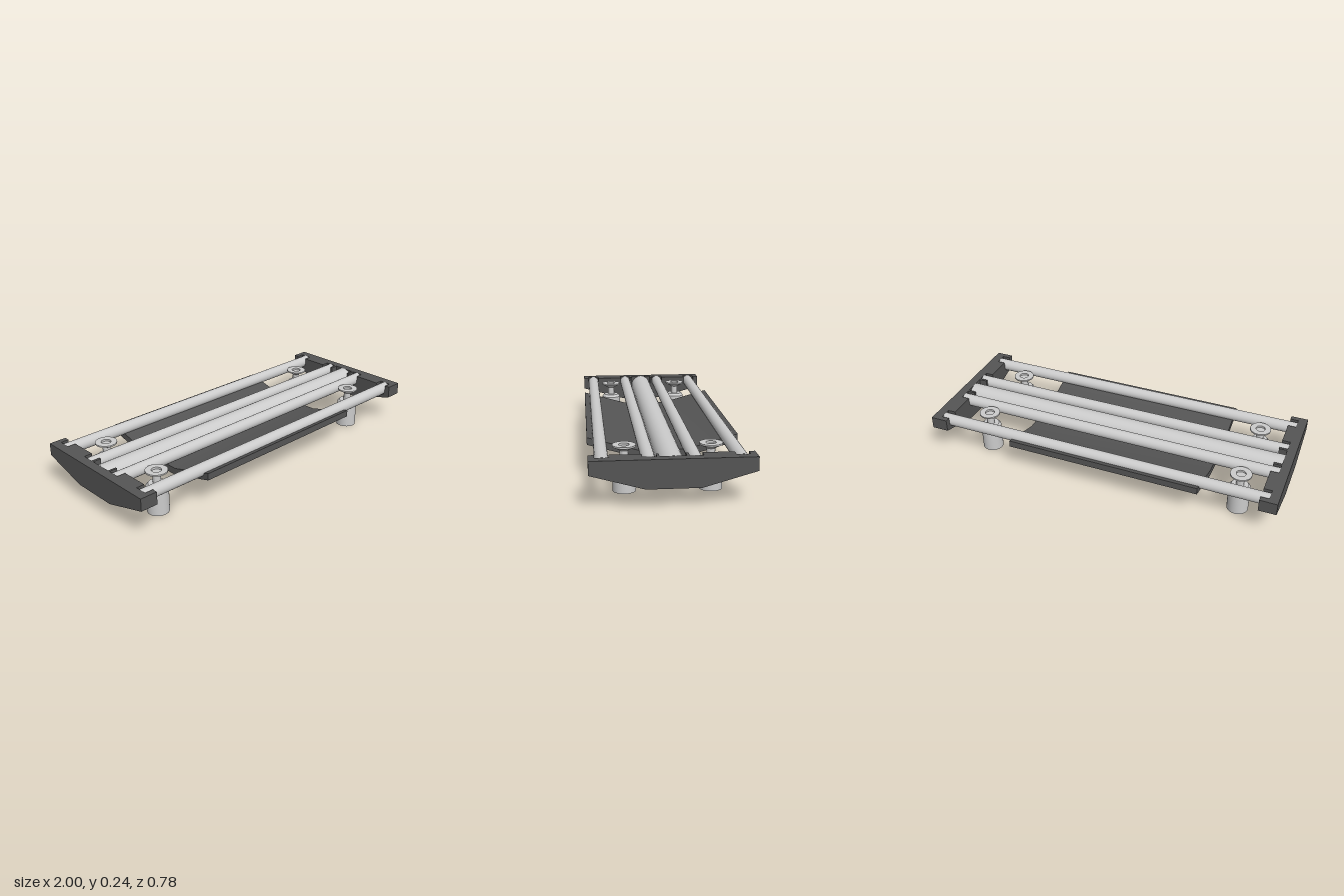
import * as THREE from 'three';
import { toCreasedNormals } from 'three/addons/utils/BufferGeometryUtils.js';

const light = new THREE.MeshStandardMaterial({ color: 0xcccccc });
const dark = new THREE.MeshStandardMaterial({ color: 0x555555 });

const TOP = 0.238;
// z position and radius of every tube; all tops are flush with the end blocks
const tubes = [[-0.327, 0.033], [-0.109, 0.033], [0, 0.063], [0.109, 0.033], [0.327, 0.033]];

function add(group, name, geometry, material) {
  const mesh = new THREE.Mesh(geometry, material);
  mesh.name = name;
  group.add(mesh);
  return mesh;
}

// Extrude a (z, y) section along x, from x0 to x1
function extrudeX(shape, x0, x1) {
  const g = new THREE.ExtrudeGeometry(shape, { depth: x1 - x0, bevelEnabled: false, curveSegments: 16 });
  g.rotateY(Math.PI / 2).translate(x0, 0, 0);
  return toCreasedNormals(g, 0.5);
}

// Tapered end section, optionally with U-shaped seats for the tubes
function endShape(notched) {
  const s = new THREE.Shape();
  s.moveTo(0.39, TOP);
  s.lineTo(0.39, 0.17);
  s.lineTo(0.13, 0.097);
  s.lineTo(-0.13, 0.097);
  s.lineTo(-0.39, 0.17);
  s.lineTo(-0.39, TOP);
  if (notched) {
    for (const [z, r] of tubes) {
      s.lineTo(z - r, TOP);
      s.absarc(z, TOP - r, r, Math.PI, 2 * Math.PI, false);
      s.lineTo(z + r, TOP);
    }
  }
  s.closePath();
  return s;
}

export function createModel() {
  const model = new THREE.Group();
  model.name = 'tubeRack';

  // End blocks: notched inner part and solid outer wall
  for (const [side, sign] of [['left', 1], ['right', -1]]) {
    const block = new THREE.Group();
    block.name = side + 'EndBlock';
    const spans = sign > 0 ? [[0.905, 0.95], [0.95, 1]] : [[-0.95, -0.905], [-1, -0.95]];
    add(block, 'tubeSeat', extrudeX(endShape(true), ...spans[0]), dark);
    add(block, 'outerWall', extrudeX(endShape(false), ...spans[1]), dark);
    model.add(block);
  }

  // Long tubes seated in the end blocks
  for (const [z, r] of tubes) {
    const g = new THREE.CylinderGeometry(r, r, 1.9, 32).rotateZ(Math.PI / 2);
    add(model, z === 0 ? 'centreTube' : 'rail', g, light).position.set(0, TOP + 0.001 - r, z);
  }

  // Folded tray hung beneath the tubes
  const section = [
    [0.39, 0.21], [0.39, 0.172], [0.13, 0.099], [-0.13, 0.099],
    [-0.39, 0.172], [-0.39, 0.21], [-0.13, 0.137], [0.13, 0.137],
  ].map(([z, y]) => new THREE.Vector2(z, y));
  add(model, 'tray', extrudeX(new THREE.Shape(section), -0.585, 0.503), dark);

  // Feet: hollow-bottomed cylinder, thin stem and flared disc
  const profile = [
    [0, 0.02], [0.047, 0.02], [0.047, 0], [0.058, 0], [0.058, 0.145], [0.046, 0.16],
    [0.021, 0.16], [0.021, 0.205], [0.058, 0.225], [0.058, 0.233],
    [0.026, 0.233], [0.026, 0.222], [0, 0.222],
  ].map(([r, y]) => new THREE.Vector2(r, y));
  const footGeometry = toCreasedNormals(new THREE.LatheGeometry(profile, 32), 0.5);
  for (const x of [-0.768, 0.723]) {
    for (const z of [-0.213, 0.213]) {
      add(model, 'foot', footGeometry, light).position.set(x, 0, z);
    }
  }

  return model;
}
